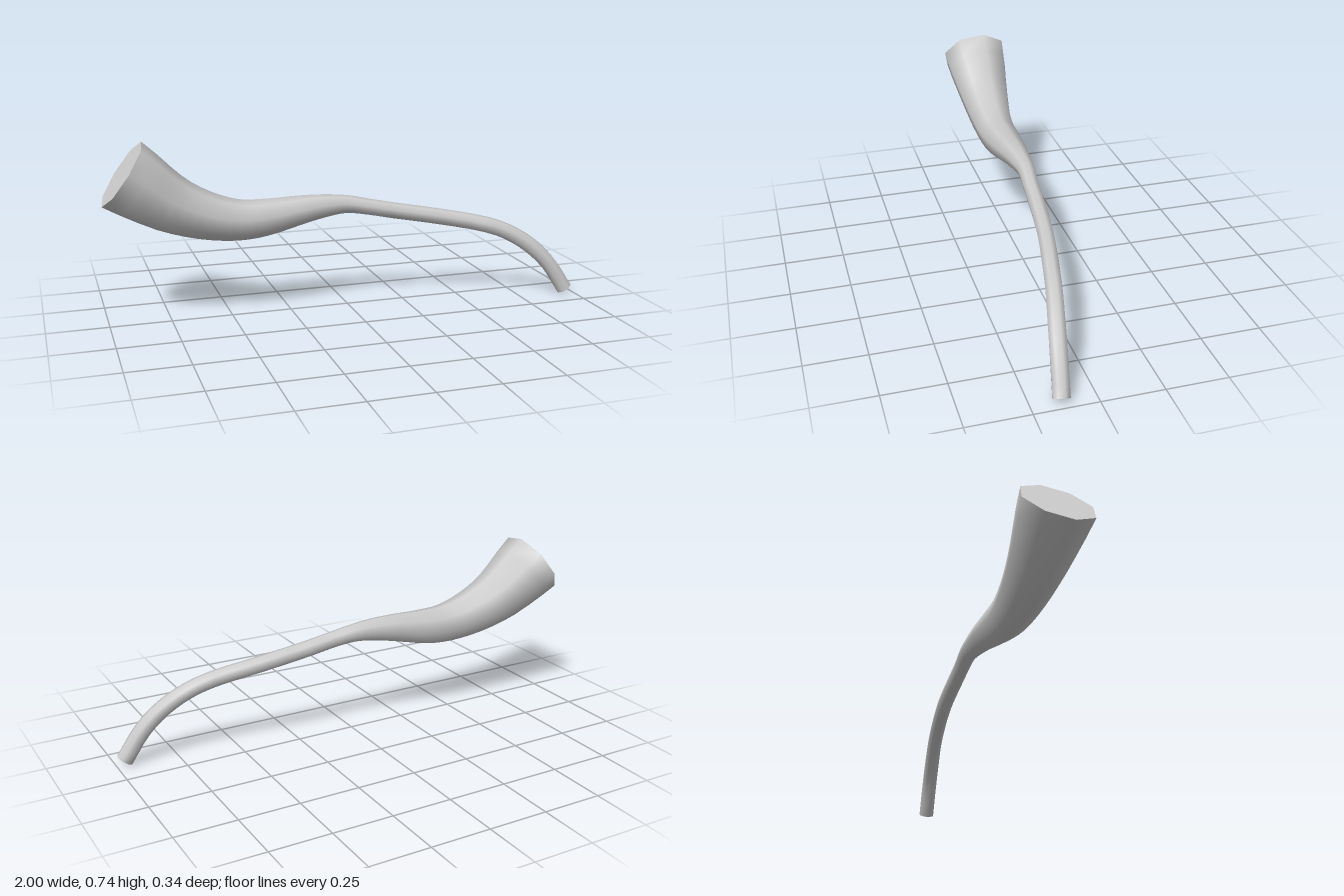
import * as THREE from 'three';

const SIDES = 8;
const TWIST = THREE.MathUtils.degToRad(10);

// Centre line and radius, from the wide bell to the thin mouth end: x, y, z, r
const STATIONS = [
  [-0.922, 0.617, -0.02, 0.15],
  [-0.74, 0.49, -0.018, 0.119],
  [-0.6, 0.43, -0.013, 0.099],
  [-0.465, 0.401, -0.01, 0.085],
  [-0.35, 0.403, -0.012, 0.077],
  [-0.2, 0.423, -0.014, 0.061],
  [-0.1, 0.433, -0.014, 0.049],
  [0, 0.434, -0.014, 0.038],
  [0.1, 0.417, -0.004, 0.034],
  [0.2, 0.397, 0.004, 0.034],
  [0.4, 0.361, 0.025, 0.034],
  [0.6, 0.32, 0.062, 0.034],
  [0.7, 0.284, 0.082, 0.034],
  [0.8, 0.222, 0.104, 0.035],
  [0.885, 0.139, 0.121, 0.035],
  [0.964, 0.018, 0.135, 0.035],
];

// Octagonal cross-sections set square to the centre line
function makeRings(steps) {
  const path = new THREE.CatmullRomCurve3(STATIONS.map(([x, y, z]) => new THREE.Vector3(x, y, z)));
  const radii = new THREE.SplineCurve(STATIONS.map(([x, , , r]) => new THREE.Vector2(x, r)));
  const rings = [];
  for (let i = 0; i <= steps; i++) {
    const t = i / steps;
    const centre = path.getPoint(t);
    const tangent = path.getTangent(t);
    const side = new THREE.Vector3(0, 0, 1).projectOnPlane(tangent).normalize();
    const up = side.clone().cross(tangent);
    const r = radii.getPoint(t).y;
    const points = [];
    for (let j = 0; j < SIDES; j++) {
      const a = TWIST + (j / SIDES) * Math.PI * 2;
      points.push(centre.clone()
        .addScaledVector(side, r * Math.cos(a))
        .addScaledVector(up, r * Math.sin(a)));
    }
    rings.push({ centre, points });
  }
  return rings;
}

// Smooth skin joining the rings
function skinGeometry(rings) {
  const index = [];
  for (let i = 0; i < rings.length - 1; i++) {
    for (let j = 0; j < SIDES; j++) {
      const k = (j + 1) % SIDES;
      const a = i * SIDES + j, b = a + SIDES, c = i * SIDES + k, d = c + SIDES;
      index.push(a, b, c, b, d, c);
    }
  }
  const geometry = new THREE.BufferGeometry().setFromPoints(rings.flatMap((ring) => ring.points));
  geometry.setIndex(index);
  geometry.computeVertexNormals();
  return geometry;
}

// Flat fan closing one end
function capGeometry({ centre, points }, flip) {
  const corners = [];
  for (let j = 0; j < SIDES; j++) {
    const p = points[j], q = points[(j + 1) % SIDES];
    corners.push(centre, flip ? q : p, flip ? p : q);
  }
  const geometry = new THREE.BufferGeometry().setFromPoints(corners);
  geometry.computeVertexNormals();
  return geometry;
}

export function createModel() {
  const group = new THREE.Group();
  group.name = 'curvedHorn';
  const material = new THREE.MeshStandardMaterial({ color: 0xcccccc });
  const add = (name, geometry) => {
    const mesh = new THREE.Mesh(geometry, material);
    mesh.name = name;
    group.add(mesh);
  };

  const rings = makeRings((STATIONS.length - 1) * 3);
  add('hornBody', skinGeometry(rings));
  add('bellEnd', capGeometry(rings[0], false));
  add('thinEnd', capGeometry(rings[rings.length - 1], true));
  return group;
}
